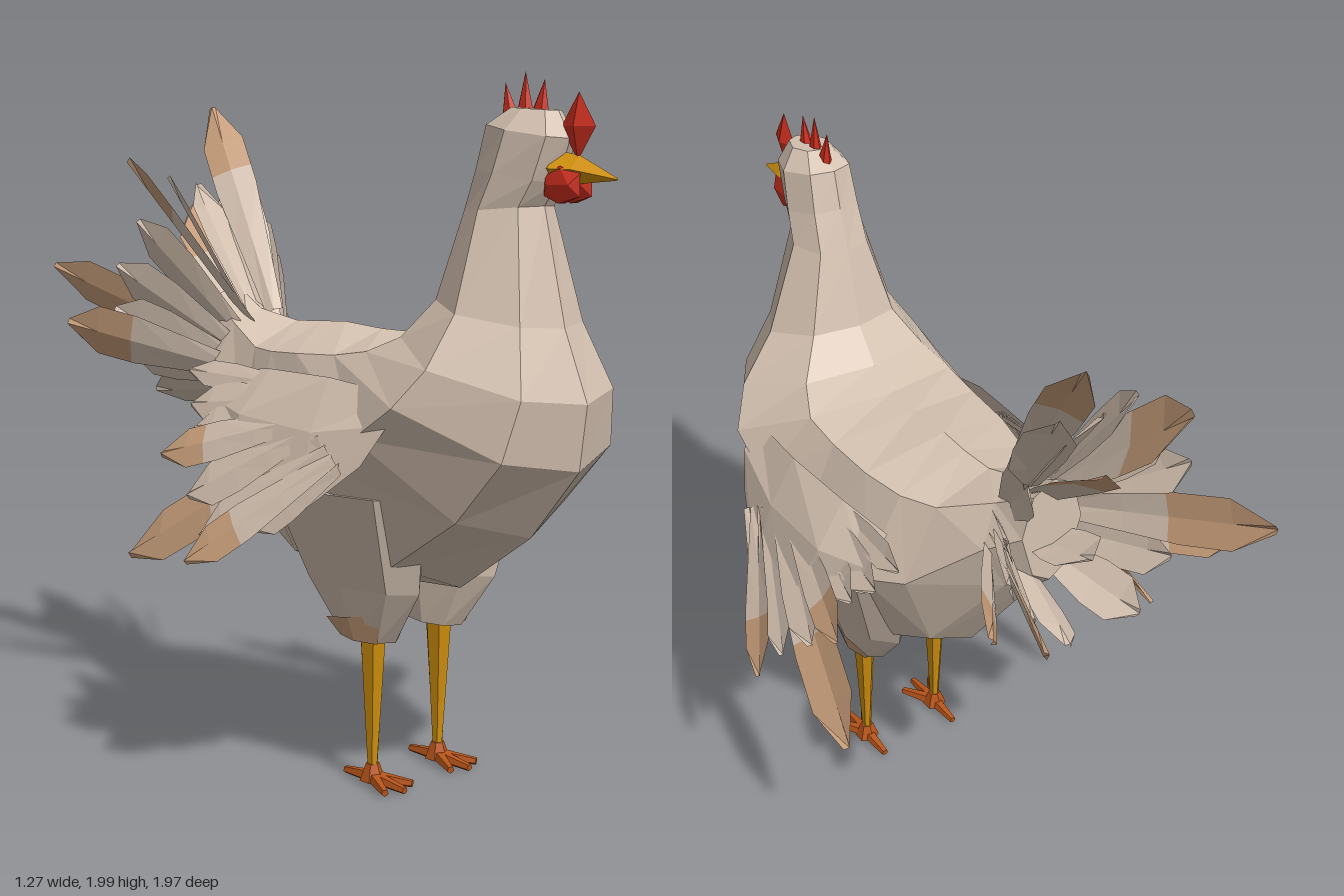
import * as THREE from 'three';

const mat = (name, color, double) => {
  const m = new THREE.MeshStandardMaterial({ color, flatShading: true });
  m.name = name;
  if (double) m.side = THREE.DoubleSide;
  return m;
};

// Skin a list of point rings; closed rings are capped at both ends
function loft(rings, closed = true) {
  const out = [], n = rings[0].length;
  const tri = (...p) => p.forEach(v => out.push(...v));
  for (let i = 0; i + 1 < rings.length; i++) {
    for (let k = 0; k < (closed ? n : n - 1); k++) {
      const j = (k + 1) % n;
      tri(rings[i][k], rings[i][j], rings[i + 1][j]);
      tri(rings[i][k], rings[i + 1][j], rings[i + 1][k]);
    }
  }
  if (closed) {
    const a = rings[0], b = rings[rings.length - 1];
    for (let k = 1; k + 1 < n; k++) {
      tri(a[0], a[k + 1], a[k]);
      tri(b[0], b[k], b[k + 1]);
    }
  }
  const g = new THREE.BufferGeometry();
  g.setAttribute('position', new THREE.Float32BufferAttribute(out, 3));
  g.computeVertexNormals();
  return g;
}

// Horizontal oval ring starting at the back
function oval(cx, y, cz, w, d, n = 8) {
  return Array.from({ length: n }, (_, k) => {
    const a = k / n * Math.PI * 2;
    return [cx + w * Math.sin(a), y, cz - d * Math.cos(a)];
  });
}

export function createModel() {
  const hen = new THREE.Group();
  hen.name = 'hen';
  const plumage = mat('plumage', 0xd6c3b2);
  const feathers = mat('feathers', 0xd6c3b2, true);
  const tan = mat('tan tips', 0xc99f7b, true);
  const yellow = mat('yellow', 0xd8960f);
  const orange = mat('orange feet', 0xb9551a);
  const red = mat('red comb', 0xd2301f);

  const add = (parent, name, geo, material, pos = [0, 0, 0], scale = [1, 1, 1]) => {
    const m = new THREE.Mesh(geo, material);
    m.name = name;
    m.position.set(...pos);
    m.scale.set(...scale);
    parent.add(m);
    return m;
  };

  // Creased blade from base to tip; the part beyond split is tan
  function feather(parent, name, base, tip, width, side, split) {
    const b = new THREE.Vector3(...base), t = new THREE.Vector3(...tip);
    const dir = t.clone().sub(b).normalize();
    const s = new THREE.Vector3(...side);
    s.addScaledVector(dir, -s.dot(dir)).normalize();
    const up = s.clone().cross(dir);
    const widthAt = u => width * (u < 0.6 ? 0.4 + u : u < 0.82 ? 1 : 1 - (u - 0.82) / 0.18 * 0.85);
    const row = u => [-1, 0, 1].map(k => b.clone().lerp(t, u)
      .addScaledVector(s, k * widthAt(u))
      .addScaledVector(up, k === 0 ? width * 0.15 : 0).toArray());
    const stops = [0, 0.35, 0.6, 0.82, 1];
    add(parent, name, loft([...stops.filter(u => u < split), split].map(row), false), feathers);
    if (split < 1) add(parent, name + 'Tip', loft([split, ...stops.filter(u => u > split)].map(row), false), tan);
  }

  // Body, neck and head: [centreX, backZ, backY, frontZ, frontY, halfWidth]
  const profile = [
    [-0.035, 0.66, 1.91, 0.80, 1.90, 0.055], [-0.035, 0.59, 1.87, 0.84, 1.83, 0.10],
    [-0.035, 0.565, 1.76, 0.80, 1.72, 0.11], [-0.035, 0.53, 1.64, 0.76, 1.66, 0.12],
    [-0.03, 0.47, 1.42, 0.83, 1.35, 0.21], [-0.02, 0.38, 1.33, 0.90, 1.16, 0.31],
    [-0.01, 0.27, 1.30, 0.87, 0.98, 0.37], [-0.01, 0.15, 1.30, 0.71, 0.78, 0.37],
    [-0.01, 0.0, 1.31, 0.46, 0.60, 0.36], [-0.01, -0.10, 1.305, 0.0, 0.57, 0.32],
    [-0.02, -0.20, 1.30, -0.13, 0.63, 0.26], [-0.05, -0.33, 1.33, -0.38, 0.99, 0.16],
    [-0.05, -0.45, 1.40, -0.45, 1.06, 0.10],
  ];
  const half = [[0, 0], [0.66, 0.1], [1, 0.47], [0.6, 0.88], [0, 1]];
  const section = [...half, ...half.slice(1, 4).reverse().map(([x, t]) => [-x, t])];
  add(hen, 'body', loft(profile.map(([cx, bz, by, fz, fy, w]) =>
    section.map(([x, t]) => [cx + x * w, by + (fy - by) * t, bz + (fz - bz) * t]))), plumage);

  // Beak: diamond sections [z, y, halfWidth, halfHeight] from tip to base
  const beak = [[0.99, 1.73, 0.003, 0.003], [0.87, 1.753, 0.034, 0.036], [0.80, 1.755, 0.045, 0.045]];
  add(hen, 'beak', loft(beak.map(([z, y, w, h]) => [[0, h], [w, 0], [0, -h], [-w, 0]]
    .map(([dx, dy]) => [dx - 0.035, y + dy, z]))), yellow);

  // Comb and wattles
  const comb = new THREE.Group();
  comb.name = 'comb';
  hen.add(comb);
  for (const [z, y, h, tilt] of [[0.745, 1.92, 0.12, 0.15], [0.69, 1.925, 0.15, 0], [0.635, 1.91, 0.13, -0.2]]) {
    add(comb, 'combPoint', new THREE.ConeGeometry(0.04, h, 6), red, [-0.035, y, z], [0.6, 1, 1]).rotation.x = tilt;
  }
  add(comb, 'combFront', new THREE.OctahedronGeometry(1), red, [-0.035, 1.86, 0.865], [0.022, 0.085, 0.055]);
  for (const s of [-1, 1]) {
    add(hen, 'wattle', new THREE.IcosahedronGeometry(1), red, [-0.035 + s * 0.024, 1.715, 0.835], [0.025, 0.055, 0.068]);
  }

  for (const s of [-1, 1]) {
    const label = s > 0 ? 'left' : 'right';

    // Thigh with a tan outer patch
    add(hen, label + 'Thigh', loft([oval(s * 0.2, 0.88, 0.2, 0.15, 0.3), oval(s * 0.155, 0.6, 0.22, 0.09, 0.22),
      oval(s * 0.135, 0.44, 0.23, 0.06, 0.10)]), plumage);
    const outer = r => s > 0 ? r.slice(1, 4) : r.slice(5, 8);
    const top = outer(oval(s * 0.143, 0.51, 0.227, 0.078, 0.157));
    top.forEach(p => { p[1] += (p[2] - 0.23) * 0.2; });
    add(hen, label + 'ThighPatch', loft([top, outer(oval(s * 0.135, 0.438, 0.23, 0.065, 0.105))], false), tan);

    // Shank and foot
    add(hen, label + 'Leg', loft([oval(s * 0.135, 0.46, 0.24, 0.027, 0.052, 6),
      oval(s * 0.135, 0.04, 0.24, 0.012, 0.016, 6)]), yellow);
    const foot = new THREE.Group();
    foot.name = label + 'Foot';
    foot.position.set(s * 0.135, 0, 0.24);
    hen.add(foot);
    add(foot, 'ankle', new THREE.CylinderGeometry(0.02, 0.038, 0.05, 6), orange, [0, 0.042, 0]);
    for (const [angle, len] of [[0, 0.13], [0.48, 0.12], [-0.48, 0.12], [Math.PI, 0.11]]) {
      const geo = new THREE.CylinderGeometry(0.011, 0.021, len, 5);
      geo.rotateX(Math.PI / 2).translate(0, 0, len / 2).rotateX(0.06).rotateY(angle);
      add(foot, 'toe', geo, orange, [0, 0.026, 0]);
    }

    // Wing coverts: a sheet curving outward from the shoulder
    const wing = new THREE.Group();
    wing.name = label + 'Wing';
    hen.add(wing);
    add(wing, 'coverts', loft([
      [[0.30, 1.17, 0.52], [0.33, 1.20, 0.27], [0.32, 1.20, 0.02], [0.29, 1.18, -0.16]],
      [[0.36, 1.10, 0.52], [0.41, 1.06, 0.28], [0.42, 1.08, 0.0], [0.37, 1.10, -0.16]],
      [[0.40, 0.99, 0.46], [0.47, 0.85, 0.30], [0.49, 0.83, 0.10], [0.44, 0.94, -0.06]],
    ].map(r => r.map(([x, y, z]) => [s * x, y, z])), false), feathers);

    // Wing feathers: tip x, y, z, half width, tan split; bases run down the wing
    [
      [0.35, 1.17, -0.30, 0.04, 1], [0.39, 1.08, -0.24, 0.06, 1], [0.43, 1.02, -0.18, 0.06, 1],
      [0.51, 0.95, -0.23, 0.06, 0.7], [0.52, 0.85, -0.10, 0.07, 1], [0.55, 0.65, -0.33, 0.085, 0.55],
      [0.56, 0.76, 0.0, 0.06, 1], [0.63, 0.70, 0.02, 0.06, 0.66], [0.50, 0.79, 0.17, 0.05, 1],
    ].forEach(([x, y, z, w, split], i) => {
      const base = [s * (0.32 + 0.1 * Math.sqrt(i / 8)), 1.16 - 0.0225 * i, 0.15 + 0.032 * i];
      feather(wing, 'wingFeather', base, [s * x, y, z], w, [-s * 0.55, 1, 0], split);
    });
  }

  // Tail: a cupped fan whose bases and tilts follow from the tips
  const tail = new THREE.Group();
  tail.name = 'tail';
  hen.add(tail);
  function tailFeather(x, y, z, width, split) {
    const off = x + 0.03, spread = Math.min(1, Math.abs(off) * 4);
    const base = [-0.05 + off * 0.28, 1.1 + (y - 1.05) * 0.25, -0.31];
    const side = [Math.sign(off) * Math.max(0.25, 1 - spread), spread, 0.2];
    feather(tail, 'tailFeather', base, [x, y, z], width, side, split);
  }
  // Long tan-tipped feathers
  for (const [x, y, z, w, split] of [
    [0.10, 1.93, -0.73, 0.065, 0.68], [-0.16, 1.77, -0.82, 0.095, 0.62], [0.04, 1.62, -0.76, 0.09, 0.66],
    [-0.34, 1.44, -0.98, 0.07, 0.55], [-0.42, 1.28, -0.80, 0.08, 0.62], [0.35, 1.34, -0.94, 0.075, 0.6],
    [0.36, 1.24, -0.73, 0.07, 0.7],
  ]) tailFeather(x, y, z, w, split);
  // Shorter plain feathers around the cup
  for (const s of [-1, 1]) {
    for (let i = 0; i <= 5; i++) {
      const t = i / 5;
      tailFeather(-0.04 + s * (0.12 + 0.19 * Math.sin(Math.PI * t)), 1.06 + 0.66 * t, -0.70 + 0.08 * t, 0.07, 1);
    }
  }
  for (const y of [1.25, 1.70]) tailFeather(-0.05, y, -0.62, 0.08, 1);

  return hen;
}
